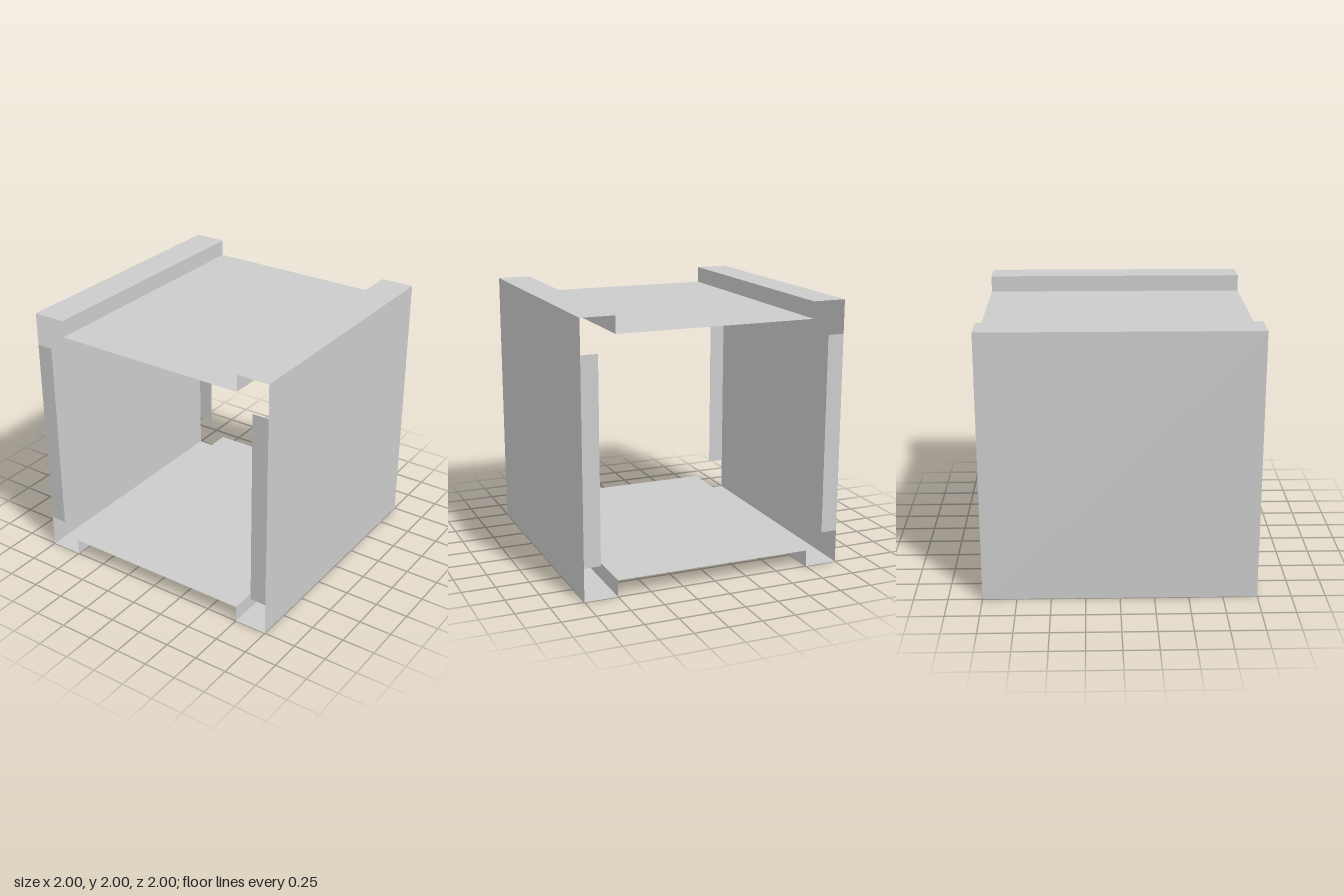
import * as THREE from 'three';

const material = new THREE.MeshStandardMaterial({ color: 0xcccccc, side: THREE.DoubleSide, flatShading: true });

// Thin flat panel, turned by rx / ry and placed at its centre
function panel(name, width, height, position, rx = 0, ry = 0) {
  const mesh = new THREE.Mesh(new THREE.PlaneGeometry(width, height), material);
  mesh.name = name;
  mesh.rotation.set(rx, ry, 0);
  mesh.position.set(...position);
  return mesh;
}

export function createModel() {
  const model = new THREE.Group();
  model.name = 'openFrameBlock';
  const quarter = Math.PI / 2;

  for (const s of [1, -1]) {
    const side = s > 0 ? 'left' : 'right';

    // Full side wall
    model.add(panel(side + 'Wall', 2, 2, [s, 1, 0], 0, s * quarter));

    // Narrow upright strips at the front and back edges
    for (const z of [1, -1]) {
      const end = z > 0 ? 'Front' : 'Back';
      model.add(panel(side + end + 'Strip', 0.125, 1.5, [s * 0.9375, 1, z], 0, z > 0 ? 0 : Math.PI));
    }

    // Rails and their inner lips along the top and bottom
    for (const v of [1, -1]) {
      const level = v > 0 ? 'Top' : 'Bottom';
      model.add(panel(side + level + 'Rail', 0.25, 2, [s * 0.875, 1 + v, 0], -v * quarter));
      model.add(panel(side + level + 'Lip', 2, 0.125, [s * 0.75, 1 + v * 0.9375, 0], 0, -s * quarter));
    }
  }

  // Recessed roof and floor between the rails
  for (const v of [1, -1]) {
    model.add(panel(v > 0 ? 'recessedRoof' : 'recessedFloor', 1.5, 2, [0, 1 + v * 0.875, 0], -v * quarter));
  }
  return model;
}
